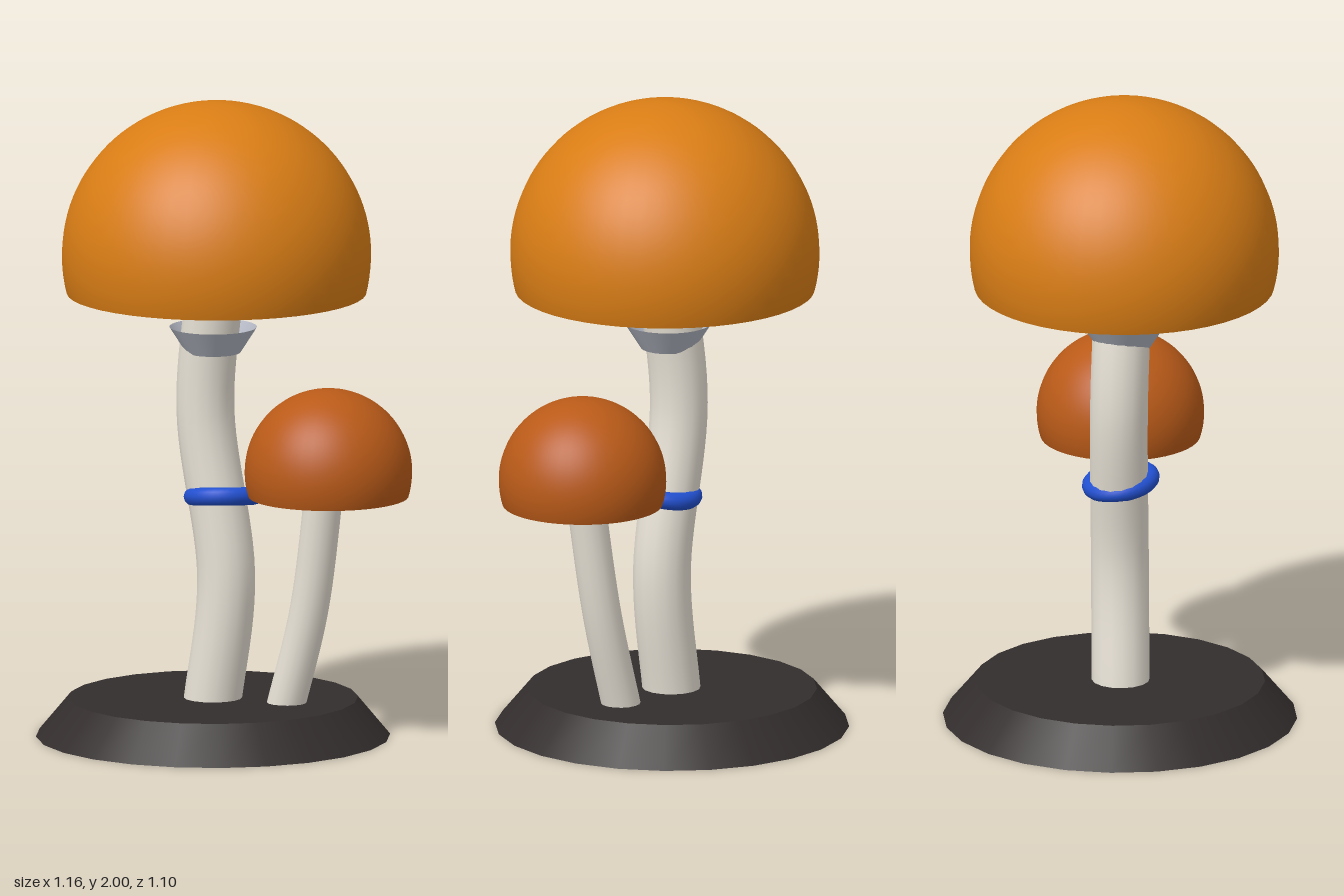
import * as THREE from 'three';

const paint = (color, side = THREE.FrontSide) => new THREE.MeshStandardMaterial({ color, side });

function part(name, geometry, material, x = 0, y = 0, z = 0) {
  const mesh = new THREE.Mesh(geometry, material);
  mesh.name = name;
  mesh.position.set(x, y, z);
  return mesh;
}

// Bent stalk of constant thickness along a few points
function stem(name, points, radius) {
  const curve = new THREE.CatmullRomCurve3(points.map(p => new THREE.Vector3(...p)));
  return part(name, new THREE.TubeGeometry(curve, 32, radius, 16), paint(0xe8e2d6, THREE.DoubleSide));
}

// Hollow dome cut a little below its equator at height yRim
function cap(name, color, radius, x, y, z, yRim) {
  const angle = Math.acos((yRim - y) / radius);
  const dome = new THREE.SphereGeometry(radius, 48, 32, 0, Math.PI * 2, 0, angle);
  return part(name, dome, paint(color, THREE.DoubleSide), x, y, z);
}

export function createModel() {
  const model = new THREE.Group();
  model.name = 'mushrooms';

  // Bevelled base plate
  model.add(part('base', new THREE.CylinderGeometry(0.45, 0.55, 0.12, 24), paint(0x332e2d), -0.03, 0.06, 0));

  // Tall mushroom
  model.add(stem('tallStem', [[-0.035, 0.08, 0], [0.01, 0.5, 0.02], [-0.053, 1.03, -0.015], [-0.02, 1.46, 0.02]], 0.09));
  model.add(cap('tallCap', 0xd97d15, 0.48, -0.02, 1.52, 0.02, 1.4));

  // Dark gill disc inside the tall cap, facing down
  const gills = part('gills', new THREE.CircleGeometry(0.478, 48), paint(0x3a1f10, THREE.DoubleSide), -0.02, 1.52, 0.02);
  gills.rotation.x = Math.PI / 2;
  model.add(gills);

  // Flared collar under the tall cap
  model.add(part('collar', new THREE.CylinderGeometry(0.136, 0.085, 0.08, 32, 1, true),
    paint(0xb4b8c4, THREE.DoubleSide), -0.03, 1.252, 0.013));

  // Tilted band around the tall stem
  const band = part('band', new THREE.TorusGeometry(0.094, 0.028, 12, 40), paint(0x2250d0), 0, 0.757, 0.018);
  band.rotation.x = Math.PI / 2 - 0.18;
  model.add(band);

  // Small mushroom
  model.add(stem('smallStem', [[0.185, 0.08, 0.09], [0.262, 0.42, 0.135], [0.312, 0.85, 0.18]], 0.06));
  model.add(cap('smallCap', 0xb95a18, 0.26, 0.32, 0.862, 0.18, 0.785));

  return model;
}
